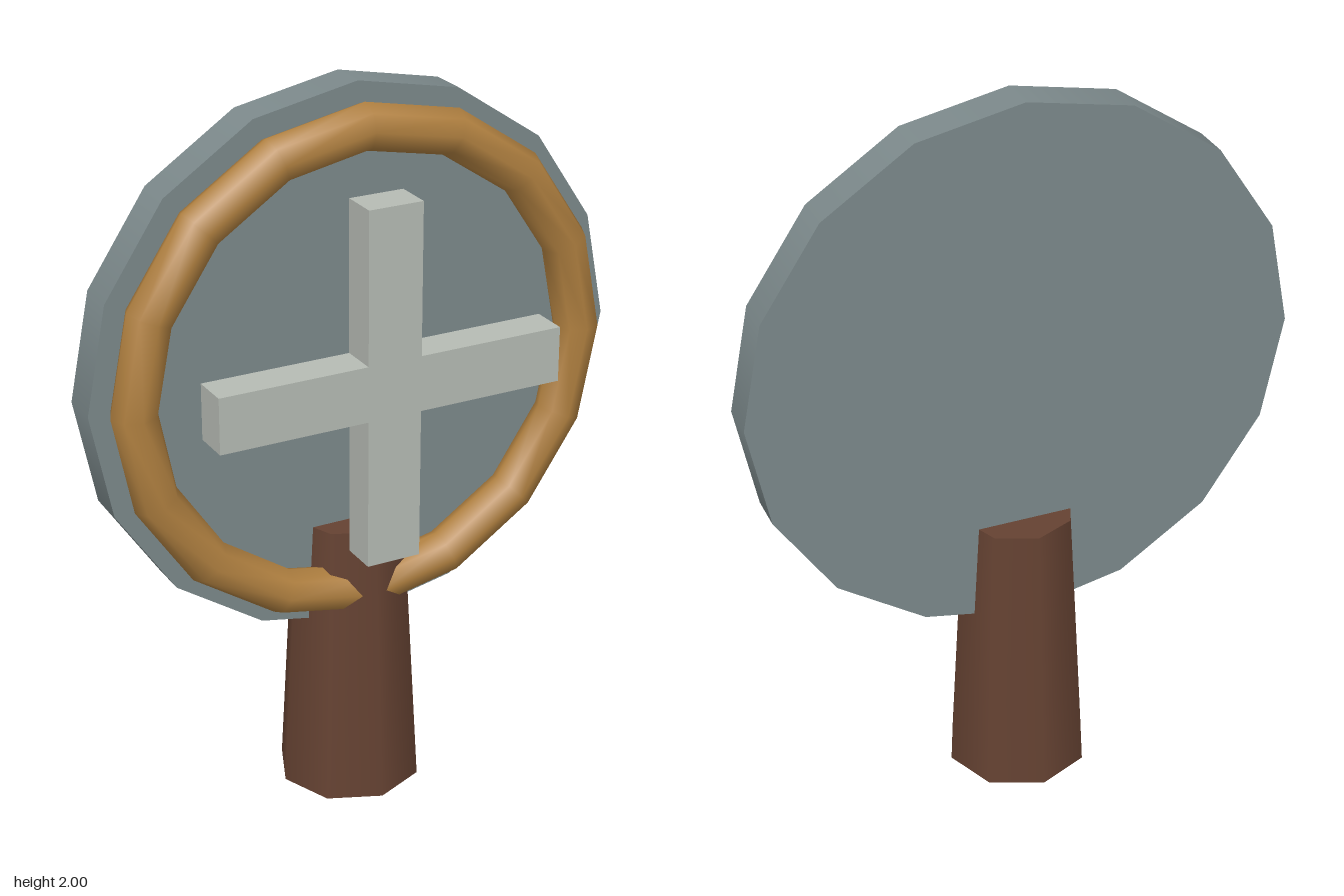
import * as THREE from 'three';

const CENTRE_Y = 1.25;

function part(name, geometry, color, y, z) {
  const mesh = new THREE.Mesh(geometry, new THREE.MeshStandardMaterial({ color }));
  mesh.name = name;
  mesh.position.set(0, y, z);
  return mesh;
}

// Plus-shaped outline, built from one corner notch per quarter turn
function crossShape(reach, half) {
  const points = [];
  for (let i = 0; i < 4; i++) {
    const turn = (i * Math.PI) / 2;
    for (const [x, y] of [[reach, -half], [reach, half], [half, half]]) {
      points.push(new THREE.Vector2(x, y).rotateAround(new THREE.Vector2(), turn));
    }
  }
  return new THREE.Shape(points);
}

export function createModel() {
  const group = new THREE.Group();
  group.name = 'roundSign';

  // Tapered eight-sided post, running through the lower edge of the disc
  group.add(part('post', new THREE.CylinderGeometry(0.155, 0.2, 0.8, 8), 0x654232, 0.4, -0.027));

  // Sixteen-sided disc facing the front
  const disc = new THREE.CylinderGeometry(0.75, 0.75, 0.108, 16).rotateX(Math.PI / 2);
  group.add(part('disc', disc, 0x7c898b, CENTRE_Y, -0.029));

  // Rim ring resting on the front of the disc
  group.add(part('ring', new THREE.TorusGeometry(0.643, 0.0625, 8, 16), 0xb08040, CENTRE_Y, 0.061));

  // Raised cross standing off the front
  const cross = new THREE.ExtrudeGeometry(crossShape(0.488, 0.076), { depth: 0.104, bevelEnabled: false });
  group.add(part('cross', cross, 0xb6bbb4, CENTRE_Y, 0.122));

  return group;
}
